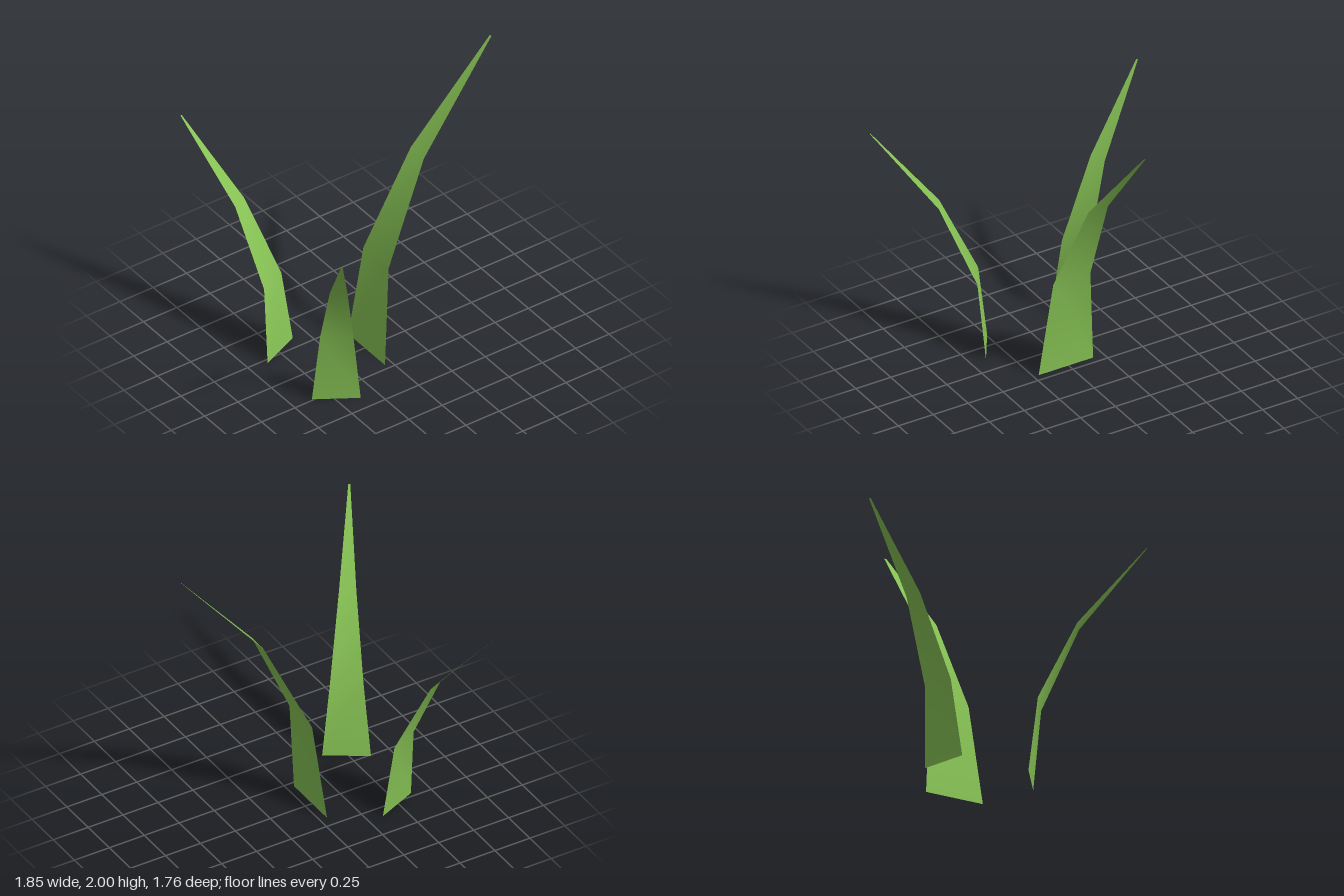
import * as THREE from 'three';

const leafGreen = new THREE.MeshStandardMaterial({ color: 0x88c455, side: THREE.DoubleSide });
leafGreen.name = 'leaf green';

// Rows from root to tip: height, outward lean, half width
const ROWS = [
  [0, 0, 0.195],
  [0.67, 0.07, 0.133],
  [1.34, 0.38, 0.07],
  [2, 0.93, 0.008],
];

// A thin tapering strip that bends towards -z
function bladeGeometry() {
  const geometry = new THREE.PlaneGeometry(2, 1, 1, ROWS.length - 1);
  const pos = geometry.attributes.position;
  for (let i = 0; i < pos.count; i++) {
    const [height, lean, half] = ROWS[ROWS.length - 1 - Math.floor(i / 2)];
    pos.setXYZ(i, Math.sign(pos.getX(i)) * half, height, -lean);
  }
  geometry.computeVertexNormals();
  return geometry;
}

export function createModel() {
  const group = new THREE.Group();
  group.name = 'grassTuft';
  const geometry = bladeGeometry();

  // Name, root x and z, outward direction x and z, scale
  const blades = [
    ['backBlade', 0.02, 0.05, 0, -1, 1],
    ['leftBlade', 0.32, 0.49, 0.842, 0.539, 0.767],
    ['rightBlade', -0.278, 0.487, -0.917, 0.398, 0.762],
  ];
  for (const [name, x, z, outX, outZ, scale] of blades) {
    const blade = new THREE.Mesh(geometry, leafGreen);
    blade.name = name;
    blade.position.set(x, 0, z);
    blade.rotation.y = Math.atan2(-outX, -outZ);
    blade.scale.setScalar(scale);
    group.add(blade);
  }
  return group;
}
